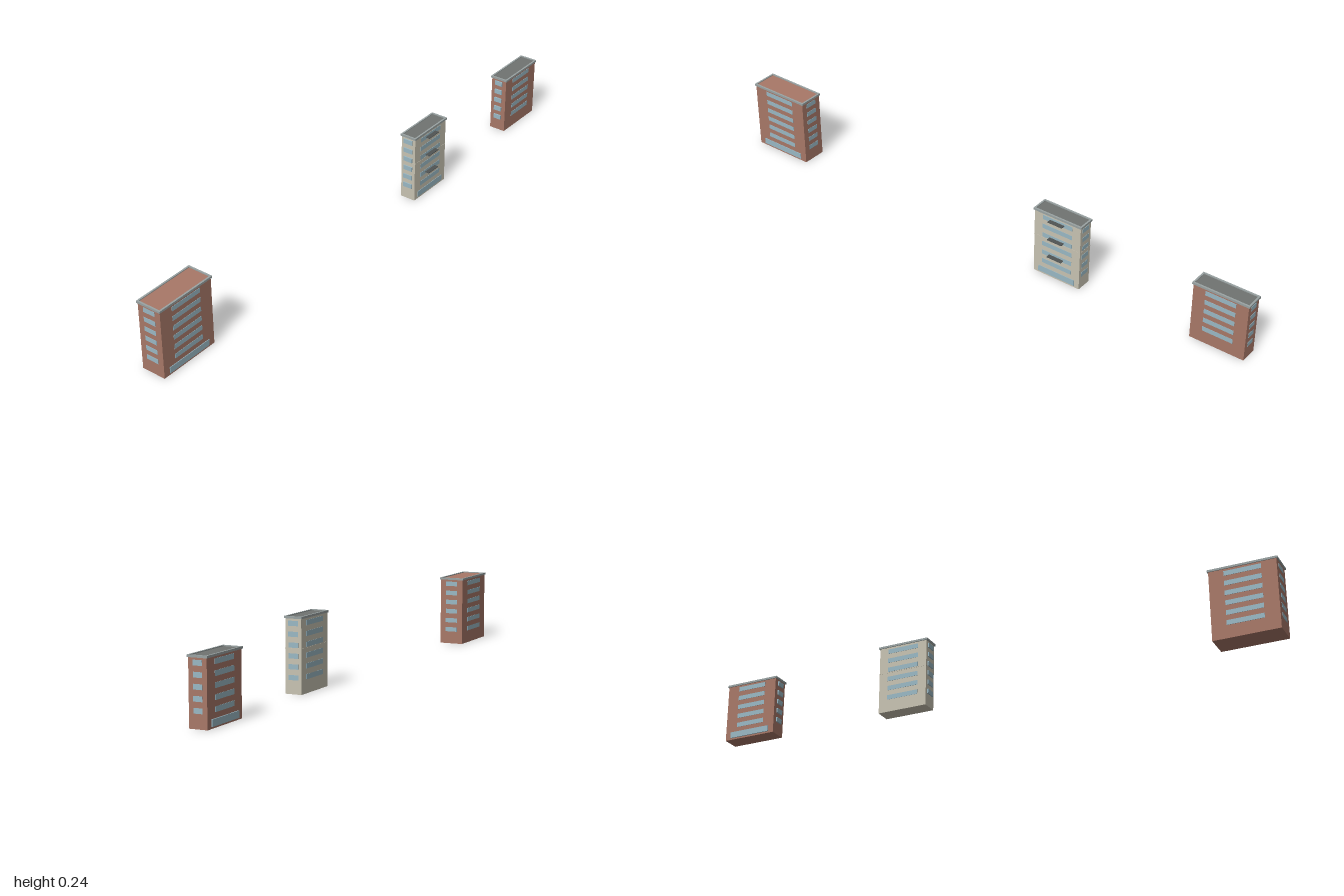
import * as THREE from 'three';

const mat = (color) => {
  const m = new THREE.MeshStandardMaterial();
  m.color.set(color);
  return m;
};
const BRICK = mat(0xa87868), BEIGE = mat(0xc8c3b2), GLASS = mat(0x9ab8c4);
const ROOF = mat(0x707371), TRIM = mat(0x9aa3a3), DARK = mat(0x505454);

// Box given by its minimum and maximum corners
function box(parent, name, material, [x0, y0, z0], [x1, y1, z1]) {
  const mesh = new THREE.Mesh(new THREE.BoxGeometry(x1 - x0, y1 - y0, z1 - z0), material);
  mesh.position.set((x0 + x1) / 2, (y0 + y1) / 2, (z0 + z1) / 2);
  mesh.name = name;
  parent.add(mesh);
}

// Rectangular rim around the roof, open in the middle
function rim(parent, x, z, w, d, y, h) {
  const rect = (C, a, b) => new C([[-a, -b], [a, -b], [a, b], [-a, b]].map((p) => new THREE.Vector2(...p)));
  const shape = rect(THREE.Shape, w / 2, d / 2);
  shape.holes.push(rect(THREE.Path, w / 2 - 0.006, d / 2 - 0.006));
  const geo = new THREE.ExtrudeGeometry(shape, { depth: h, bevelEnabled: false });
  geo.rotateX(-Math.PI / 2);
  const mesh = new THREE.Mesh(geo, TRIM);
  mesh.position.set(x, y, z);
  mesh.name = 'roofRim';
  parent.add(mesh);
}

// Block with window bands on all four sides; sill is how far the right-hand windows stand out
function building({ name, x, z, w, d, top, wall, roof, rows, winW, winD, sill }) {
  const g = new THREE.Group();
  g.name = name;
  const x0 = x - w / 2, x1 = x + w / 2, z0 = z - d / 2, z1 = z + d / 2, e = 0.001;
  box(g, 'walls', wall, [x0, 0, z0], [x1, top - 0.006, z1]);
  box(g, 'roof', roof, [x0 + 0.002, top - 0.006, z0 + 0.002], [x1 - 0.002, top - 0.003, z1 - 0.002]);
  rim(g, x, z, w + 0.007, d + 0.006, top - 0.007, 0.007);
  for (let i = 0; i < rows; i++) {
    const a = 0.044 + i * 0.0336, b = a + 0.016;
    box(g, 'frontWindow', GLASS, [x - winW / 2, a, z1 - e], [x + winW / 2, b, z1 + e]);
    box(g, 'backWindow', GLASS, [x - winW / 2, a, z0 - e], [x + winW / 2, b, z0 + e]);
    box(g, 'leftWindow', GLASS, [x1 - e, a, z - winD / 2], [x1 + e, b, z + winD / 2]);
    box(g, 'rightWindow', GLASS, [x0 - sill, a, z - winD / 2], [x0 + e, b, z + winD / 2]);
  }
  return g;
}

export function createModel() {
  const model = new THREE.Group();
  model.name = 'buildings';

  // Wide brick block with a shop window in front
  const wide = building({ name: 'wideBrickBuilding', x: -0.8875, z: -0.014, w: 0.218, d: 0.085,
    top: 0.242, wall: BRICK, roof: BRICK, rows: 6, winW: 0.12, winD: 0.044, sill: 0.001 });
  box(wide, 'shopWindow', GLASS, [-0.973, 0.006, 0.027], [-0.802, 0.027, 0.0305]);

  // Pale block with balconies and a floor band
  const pale = building({ name: 'paleBuilding', x: 0.3145, z: 0.0165, w: 0.176, d: 0.055,
    top: 0.242, wall: BEIGE, roof: ROOF, rows: 6, winW: 0.113, winD: 0.034, sill: 0.004 });
  box(pale, 'shopWindow', GLASS, [0.245, 0.006, 0.043], [0.384, 0.027, 0.0455]);
  box(pale, 'floorBand', BEIGE, [0.2258, 0.141, -0.0117], [0.4032, 0.143, 0.0447]);
  for (const y of [0.085, 0.152, 0.22]) {
    box(pale, 'balcony', DARK, [0.286, y - 0.001, 0.044], [0.341, y + 0.001, 0.06]);
  }

  // Lower brick block with a shop window at the back
  const low = building({ name: 'lowBrickBuilding', x: 0.9, z: -0.0005, w: 0.191, d: 0.059,
    top: 0.208, wall: BRICK, roof: ROOF, rows: 5, winW: 0.106, winD: 0.029, sill: 0.005 });
  box(low, 'shopWindow', GLASS, [0.825, 0.006, -0.0335], [0.975, 0.027, -0.029]);

  model.add(wide, pale, low);
  return model;
}
